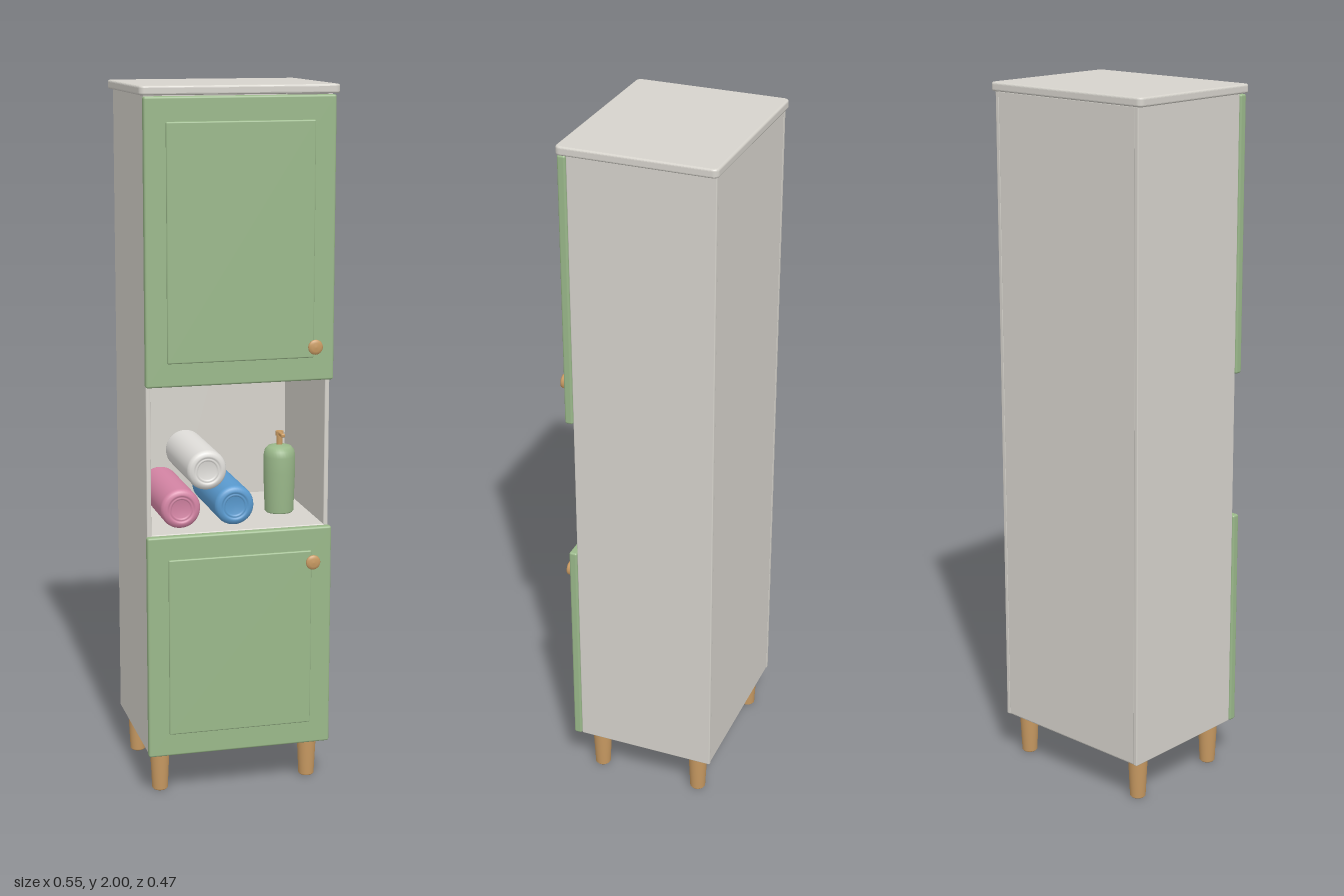
import * as THREE from 'three';
import { RoundedBoxGeometry } from 'three/addons/geometries/RoundedBoxGeometry.js';

const mat = (name, color) => {
  const m = new THREE.MeshStandardMaterial({ color });
  m.name = name;
  return m;
};

export function createModel() {
  const model = new THREE.Group();
  model.name = 'tallCabinet';

  const body = mat('warm grey paint', 0xd6d3cc);
  const green = mat('sage green', 0x9ab88a);
  const wood = mat('light wood', 0xc89a62);
  const pink = mat('pink towel', 0xd484a4);
  const blue = mat('blue towel', 0x5a9bd0);
  const white = mat('white towel', 0xe0deda);

  const add = (name, geometry, material, x = 0, y = 0, z = 0, parent = model) => {
    const mesh = new THREE.Mesh(geometry, material);
    mesh.name = name;
    mesh.position.set(x, y, z);
    parent.add(mesh);
    return mesh;
  };
  // rounded box given by its lower and upper limits
  const panel = (name, material, [x0, y0, z0], [x1, y1, z1], r = 0.003) =>
    add(name, new RoundedBoxGeometry(x1 - x0, y1 - y0, z1 - z0, 3, r), material,
      (x0 + x1) / 2, (y0 + y1) / 2, (z0 + z1) / 2);
  const lathe = (points, segments = 32) =>
    new THREE.LatheGeometry(points.map(p => new THREE.Vector2(...p)), segments);

  // carcass
  panel('leftSide', body, [0.249, 0.125, -0.23], [0.262, 1.977, 0.18]);
  panel('rightSide', body, [-0.262, 0.125, -0.23], [-0.249, 1.977, 0.18]);
  panel('backPanel', body, [-0.252, 0.127, -0.229], [0.252, 1.976, -0.216]);
  panel('bottomPanel', body, [-0.252, 0.125, -0.228], [0.252, 0.14, 0.179]);
  panel('nicheFloor', body, [-0.252, 0.756, -0.22], [0.252, 0.771, 0.179]);
  panel('nicheCeiling', body, [-0.252, 1.19, -0.22], [0.252, 1.205, 0.179]);

  // top slab with rounded corners and edges
  const w = 0.271, d0 = -0.231, d1 = 0.2, r = 0.01;
  const slab = new THREE.Shape();
  slab.moveTo(-w + r, d0);
  slab.absarc(w - r, d0 + r, r, -Math.PI / 2, 0);
  slab.absarc(w - r, d1 - r, r, 0, Math.PI / 2);
  slab.absarc(-w + r, d1 - r, r, Math.PI / 2, Math.PI);
  slab.absarc(-w + r, d0 + r, r, Math.PI, Math.PI * 1.5);
  const slabGeometry = new THREE.ExtrudeGeometry(slab, {
    depth: 0.013, bevelThickness: 0.006, bevelSize: 0.006, bevelSegments: 4, curveSegments: 8,
  });
  slabGeometry.rotateX(Math.PI / 2);
  add('topSlab', slabGeometry, body, 0, 1.994, 0);

  // doors with a raised centre panel and a turned knob
  const knob = lathe([
    [0, 0], [0.011, 0], [0.008, 0.006], [0.008, 0.012], [0.013, 0.016],
    [0.02, 0.019], [0.021, 0.023], [0.019, 0.027], [0.012, 0.029], [0, 0.03],
  ]).rotateX(Math.PI / 2);
  for (const [name, y0, y1, knobY] of [['upper', 1.192, 1.972, 1.29], ['lower', 0.125, 0.77, 0.675]]) {
    panel(name + 'Door', green, [-0.266, y0, 0.18], [0.266, y1, 0.204], 0.006);
    panel(name + 'DoorPanel', green, [-0.207, y0 + 0.065, 0.195], [0.207, y1 - 0.066, 0.209], 0.004);
    add(name + 'Knob', knob, wood, 0.205, knobY, 0.206);
  }

  // tapered legs
  const leg = lathe([
    [0, 0], [0.019, 0], [0.0225, 0.004], [0.028, 0.118], [0.028, 0.127], [0, 0.127],
  ]);
  for (const x of [-0.22, 0.22])
    for (const z of [-0.178, 0.131]) add('leg', leg, wood, x, 0, z);

  // rolled towels: soft outer edge and a ring groove in both ends
  const end = [[0, 0.007], [0.026, 0.007], [0.028, 0.002], [0.033, 0.002],
    [0.035, 0.004], [0.037, 0.001], [0.042, 0], [0.05, 0.003], [0.055, 0.009], [0.057, 0.017]];
  const half = 0.148;
  const roll = lathe([
    ...end.map(([x, y]) => [x, y - half]),
    ...end.map(([x, y]) => [x, half - y]).reverse(),
  ], 40).rotateX(Math.PI / 2);
  add('pinkTowelRoll', roll, pink, -0.157, 0.833, 0.005);
  add('blueTowelRoll', roll, blue, -0.002, 0.833, 0.005);
  add('whiteTowelRoll', roll, white, -0.08, 0.938, 0.0);

  // soap bottle with a wooden pump
  const bottle = new THREE.Group();
  bottle.name = 'soapBottle';
  bottle.position.set(0.167, 0.771, 0.01);
  model.add(bottle);
  add('bottleBody', lathe([
    [0, 0], [0.039, 0], [0.042, 0.004], [0.046, 0.12], [0.046, 0.165],
    [0.043, 0.183], [0.034, 0.194], [0.016, 0.199], [0, 0.2],
  ]), green, 0, 0, 0, bottle);
  add('pumpNeck', new THREE.CylinderGeometry(0.009, 0.009, 0.04, 20), wood, 0, 0.214, 0, bottle);
  add('pumpHead', new THREE.CylinderGeometry(0.012, 0.012, 0.012, 20), wood, 0, 0.232, 0, bottle);
  add('pumpSpout', new RoundedBoxGeometry(0.012, 0.01, 0.04, 2, 0.003), wood, 0, 0.232, 0.02, bottle);

  return model;
}
